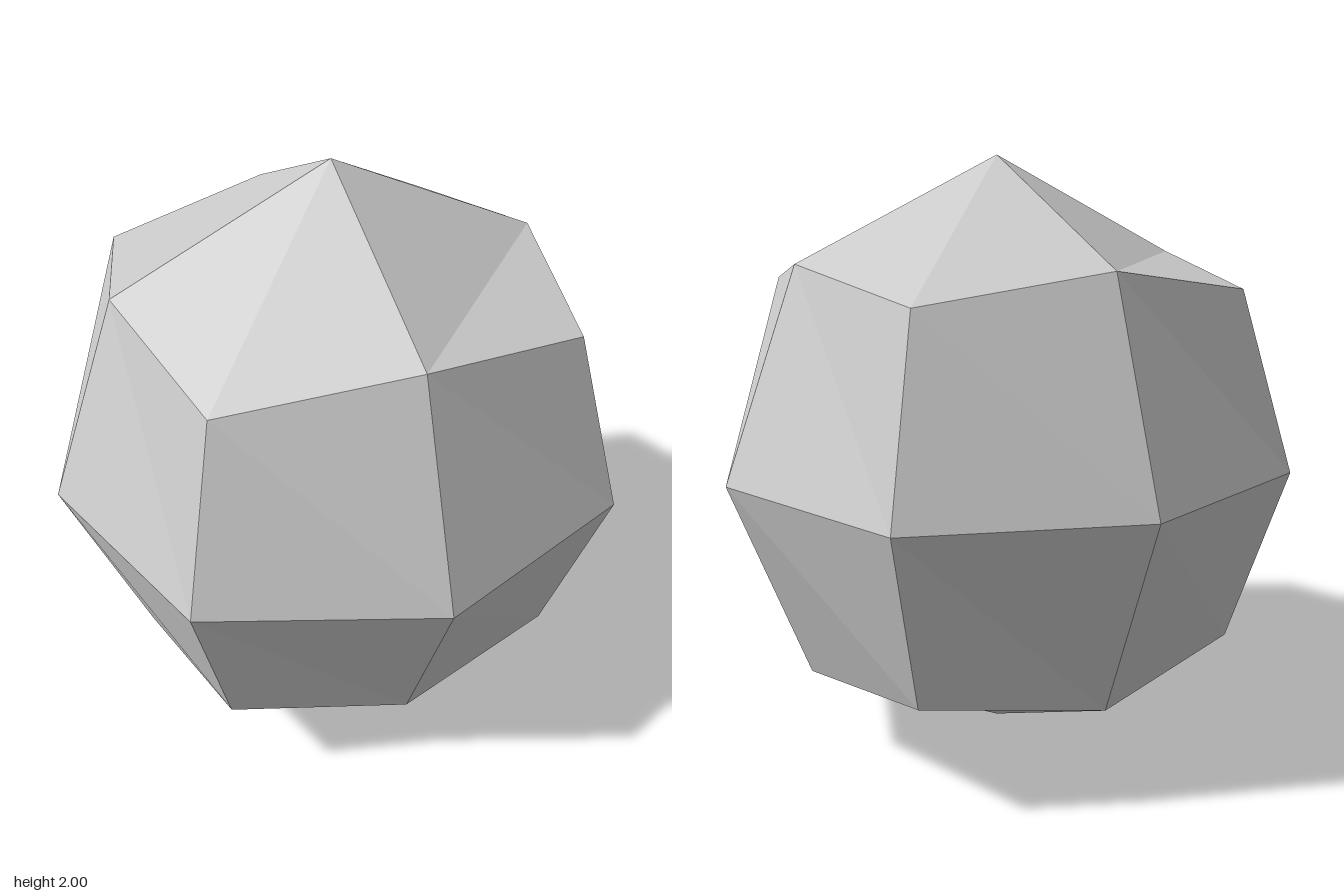
import * as THREE from 'three';

// Low-poly ball: a 2x2-per-side cube grid pushed out to a faceted sphere.
export function createModel() {
  const group = new THREE.Group();
  group.name = 'facetedBall';
  const grey = new THREE.MeshStandardMaterial({ color: 0xcccccc });
  grey.name = 'grey';
  grey.flatShading = true;

  const box = new THREE.BoxGeometry(2, 2, 2, 2, 2, 2);

  // Turn the quad diagonals on the four upright sides (top and bottom keep theirs).
  const index = box.index;
  for (let quad = 0; quad < 24; quad++) {
    const side = Math.floor(quad / 4);
    if (side === 2 || side === 3) continue;
    const i = quad * 6;
    const a = index.getX(i), b = index.getX(i + 1), d = index.getX(i + 2), c = index.getX(i + 4);
    [a, b, c, a, c, d].forEach((v, k) => index.setX(i + k, v));
  }

  // Distance from the centre line by vertex kind: side centre, edge midpoint, corner.
  const reach = { 1: [0.95, 1], 2: [0.7, 0.67], 3: [0.573, 0.585] };
  const pos = box.attributes.position;
  for (let i = 0; i < pos.count; i++) {
    const [x, y, z] = [pos.getX(i), pos.getY(i), pos.getZ(i)].map(Math.round);
    const kind = Math.abs(x) + Math.abs(y) + Math.abs(z);
    const [wide, tall] = reach[kind];
    // All but the front and back tips sit slightly towards the back.
    const shift = kind === 1 && z !== 0 ? 0 : -0.008;
    pos.setXYZ(i, x * wide, 1 + y * tall, z * wide + shift);
  }

  const geometry = box.toNonIndexed();
  geometry.clearGroups();
  geometry.computeVertexNormals();
  const ball = new THREE.Mesh(geometry, grey);
  ball.name = 'ball';
  group.add(ball);
  return group;
}
